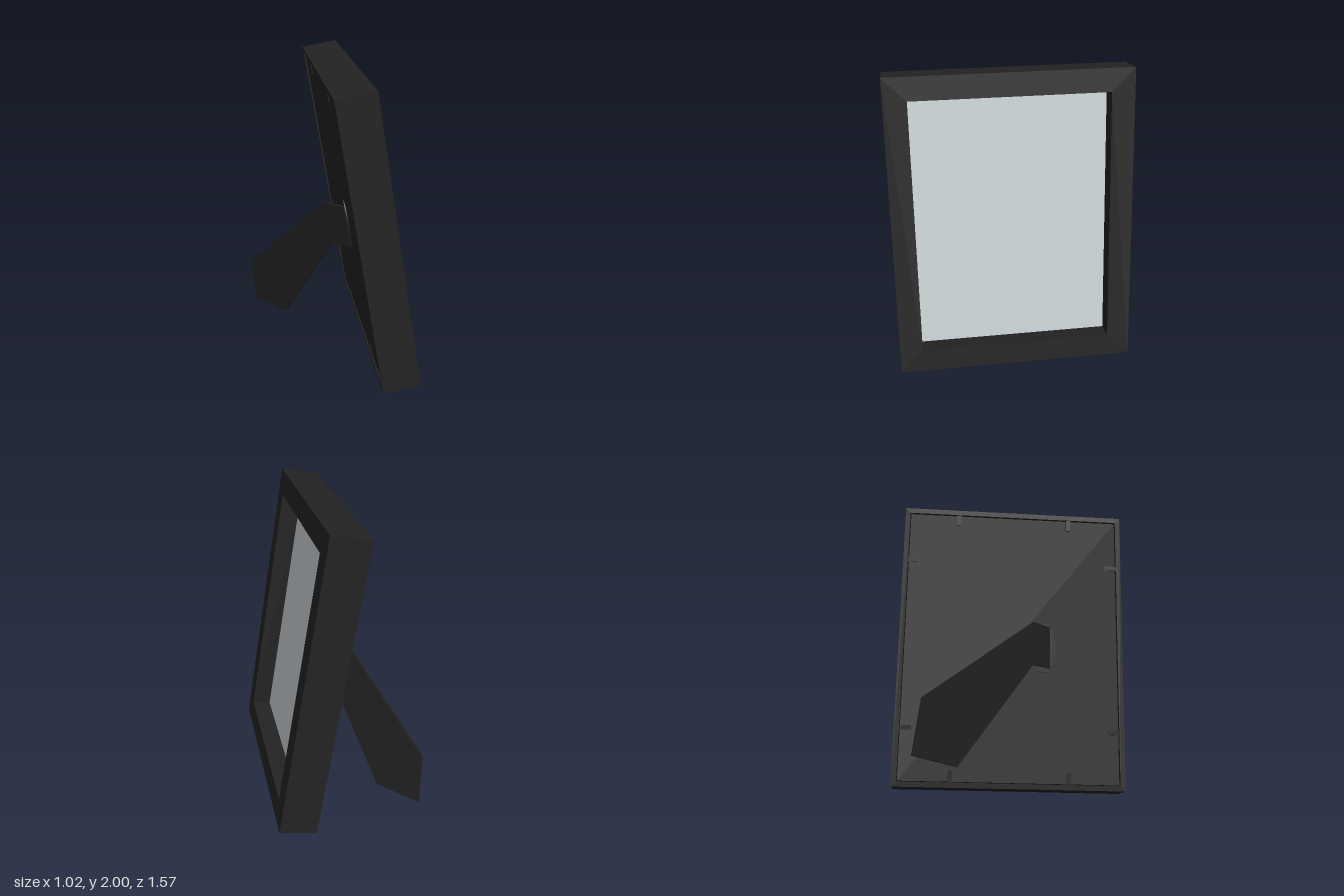
import * as THREE from 'three';

const H = 1.987, W = 1.57, DEPTH = 0.248;

export function createModel() {
  const model = new THREE.Group();
  model.name = 'pictureFrame';
  const black = new THREE.MeshStandardMaterial({ color: 0x232323 });
  black.name = 'black';
  const glass = new THREE.MeshStandardMaterial({ color: 0xc9d1d4 });
  glass.name = 'pale glass';

  // Leaning assembly: local x is the frame's depth (0 = back), y runs up it
  const lean = new THREE.Group();
  lean.name = 'leaningFrame';
  lean.position.set(0.26, 0, 0);
  lean.rotation.z = 0.1678;
  model.add(lean);

  const add = (name, geometry, material = black) => {
    const mesh = new THREE.Mesh(geometry, material);
    mesh.name = name;
    lean.add(mesh);
    return mesh;
  };

  // One mitred bar on the side of the rectangle given by sign and axis
  const bar = (name, vertical, sign, border, x0, x1) => {
    const a = W / 2, b = H / 2;
    const half = vertical ? b : a, out = vertical ? a : b;
    const pts = [[-half, out], [half, out], [half - border, out - border], [border - half, out - border]]
      .map(([p, q]) => vertical ? new THREE.Vector2(q * sign, p) : new THREE.Vector2(p, q * sign));
    const geo = new THREE.ExtrudeGeometry(new THREE.Shape(pts), { depth: x1 - x0, bevelEnabled: false });
    geo.rotateY(Math.PI / 2);
    geo.translate(x0, H / 2, 0);
    add(name, geo);
  };
  for (const [name, vertical, sign] of [['top', false, 1], ['bottom', false, -1], ['near', true, -1], ['far', true, 1]]) {
    bar(name + 'Bar', vertical, sign, 0.15, 0.11, DEPTH);
    bar(name + 'RebateBar', vertical, sign, 0.035, 0, 0.11);
  }

  // Glass and slightly recessed backing board
  const pane = new THREE.BoxGeometry(0.008, H - 0.3, W - 0.3);
  add('glassPane', pane, glass).position.set(0.114, H / 2, 0);
  const board = new THREE.BoxGeometry(0.098, H - 0.08, W - 0.08);
  add('backingBoard', board).position.set(0.061, H / 2, 0);

  // Retaining tabs around the back
  for (const s of [-1, 1]) {
    for (const t of [-1, 1]) {
      add('sideTab', new THREE.BoxGeometry(0.006, 0.03, 0.08))
        .position.set(0.008, H / 2 + t * 0.6, s * (W / 2 - 0.075));
      add('endTab', new THREE.BoxGeometry(0.006, 0.08, 0.03))
        .position.set(0.008, H / 2 + s * (H / 2 - 0.075), t * 0.4);
    }
  }

  // Oval hinge plate on the board
  const hinge = new THREE.CylinderGeometry(1, 1, 0.008, 32);
  hinge.rotateZ(Math.PI / 2);
  hinge.scale(1, 0.18, 0.09);
  add('hingePlate', hinge).position.set(0.009, 0.98, 0.22);

  // Swung-out easel leg: (distance from the back, height along the frame)
  const k = 1.562;
  const outline = [[-0.005, 0.833], [0.103, 0.829], [0.518, 0.088], [0.735, 0.124], [0.701, 0.469], [0.102, 1.133], [-0.005, 1.127]]
    .map(([s, u]) => new THREE.Vector2(s * k, u));
  const legGeo = new THREE.ExtrudeGeometry(new THREE.Shape(outline), { depth: 0.014, bevelEnabled: false });
  legGeo.translate(0, 0, -0.007);
  const leg = add('easelLeg', legGeo);
  leg.position.z = 0.26;
  leg.rotation.y = 2.265;

  return model;
}
